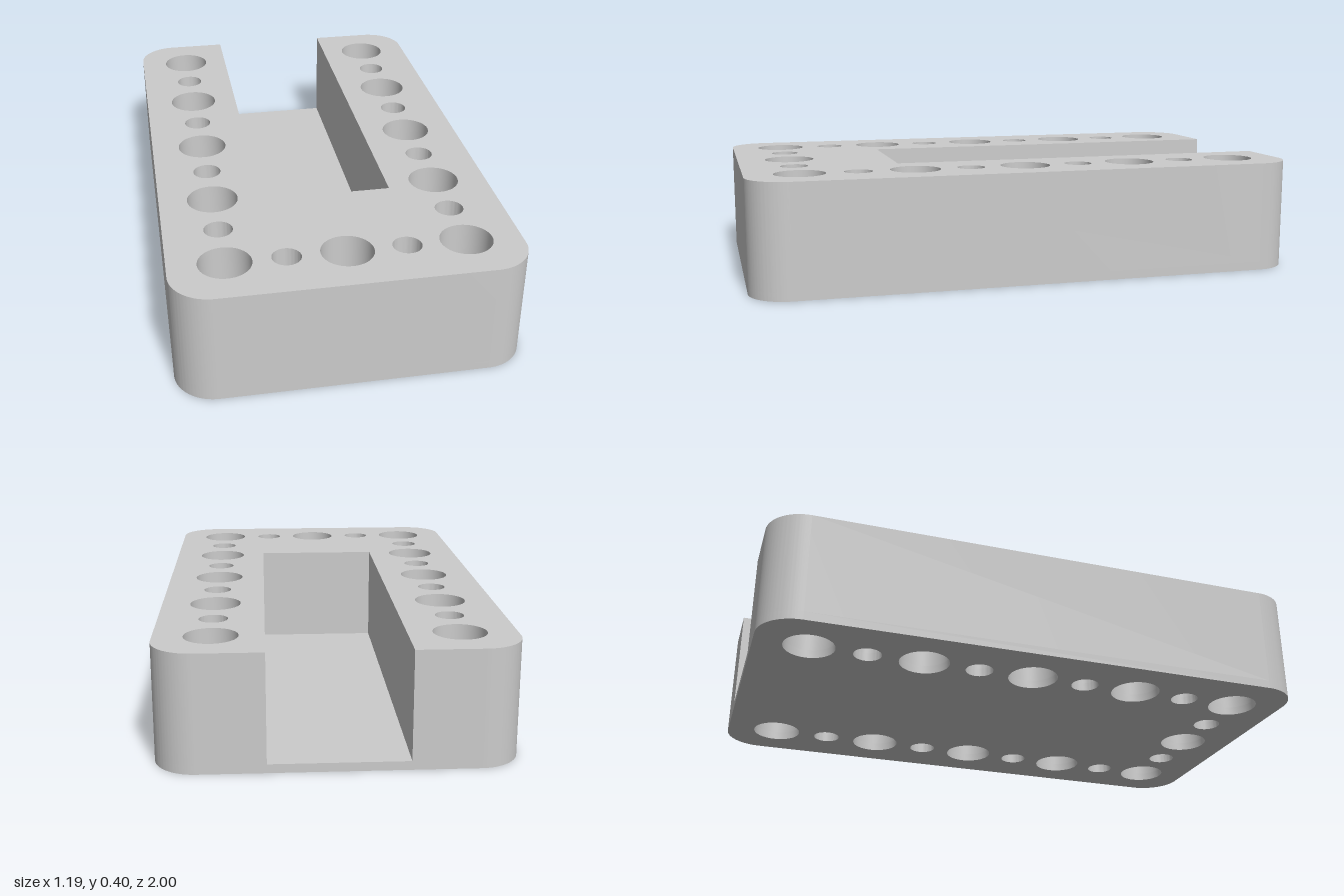
import * as THREE from 'three';
import { toCreasedNormals } from 'three/addons/utils/BufferGeometryUtils.js';

const W = 0.595, L = 1, R = 0.14;          // half width, half length, corner radius
const HEIGHT = 0.4, FLOOR = 0.03;
const SLOT_X = 0.231, SLOT_END = -0.436;   // slot half width and closed end (shape y = -z)
const PITCH = 0.2025, BIG = 0.09, SMALL = 0.05;

// Rounded plate outline, optionally with the slot cut in from the back
function outline(withSlot) {
  const s = new THREE.Shape();
  s.moveTo(-W + R, -L);
  s.absarc(W - R, -L + R, R, -Math.PI / 2, 0, false);
  s.absarc(W - R, L - R, R, 0, Math.PI / 2, false);
  if (withSlot) {
    s.lineTo(SLOT_X, L);
    s.lineTo(SLOT_X, SLOT_END);
    s.lineTo(-SLOT_X, SLOT_END);
    s.lineTo(-SLOT_X, L);
  }
  s.absarc(-W + R, L - R, R, Math.PI / 2, Math.PI, false);
  s.absarc(-W + R, -L + R, R, Math.PI, Math.PI * 1.5, false);

  // Alternating large and small through holes
  const hole = (x, y, r) => s.holes.push(new THREE.Path().absarc(x, y, r, 0, Math.PI * 2, true));
  for (let i = -4; i <= 4; i++) {
    const r = i % 2 === 0 ? BIG : SMALL;
    for (const side of [-1, 1]) hole(side * 2 * PITCH, i * PITCH + 0.001, r);
  }
  for (let i = -1; i <= 1; i++) hole(i * PITCH, -4 * PITCH + 0.001, i === 0 ? BIG : SMALL);
  return s;
}

// Upright slab between two heights
function slab(name, shape, y0, y1, material) {
  const extruded = new THREE.ExtrudeGeometry(shape, { depth: y1 - y0, bevelEnabled: false, curveSegments: 24 });
  extruded.rotateX(-Math.PI / 2);
  extruded.translate(0, y0, 0);
  const mesh = new THREE.Mesh(toCreasedNormals(extruded, 0.6), material);
  mesh.name = name;
  return mesh;
}

export function createModel() {
  const grey = new THREE.MeshStandardMaterial({ color: 0xcccccc });
  grey.name = 'light grey';
  const model = new THREE.Group();
  model.name = 'slottedBlock';
  model.add(slab('floorPlate', outline(false), 0, FLOOR, grey));
  model.add(slab('slottedWalls', outline(true), FLOOR, HEIGHT, grey));
  return model;
}
